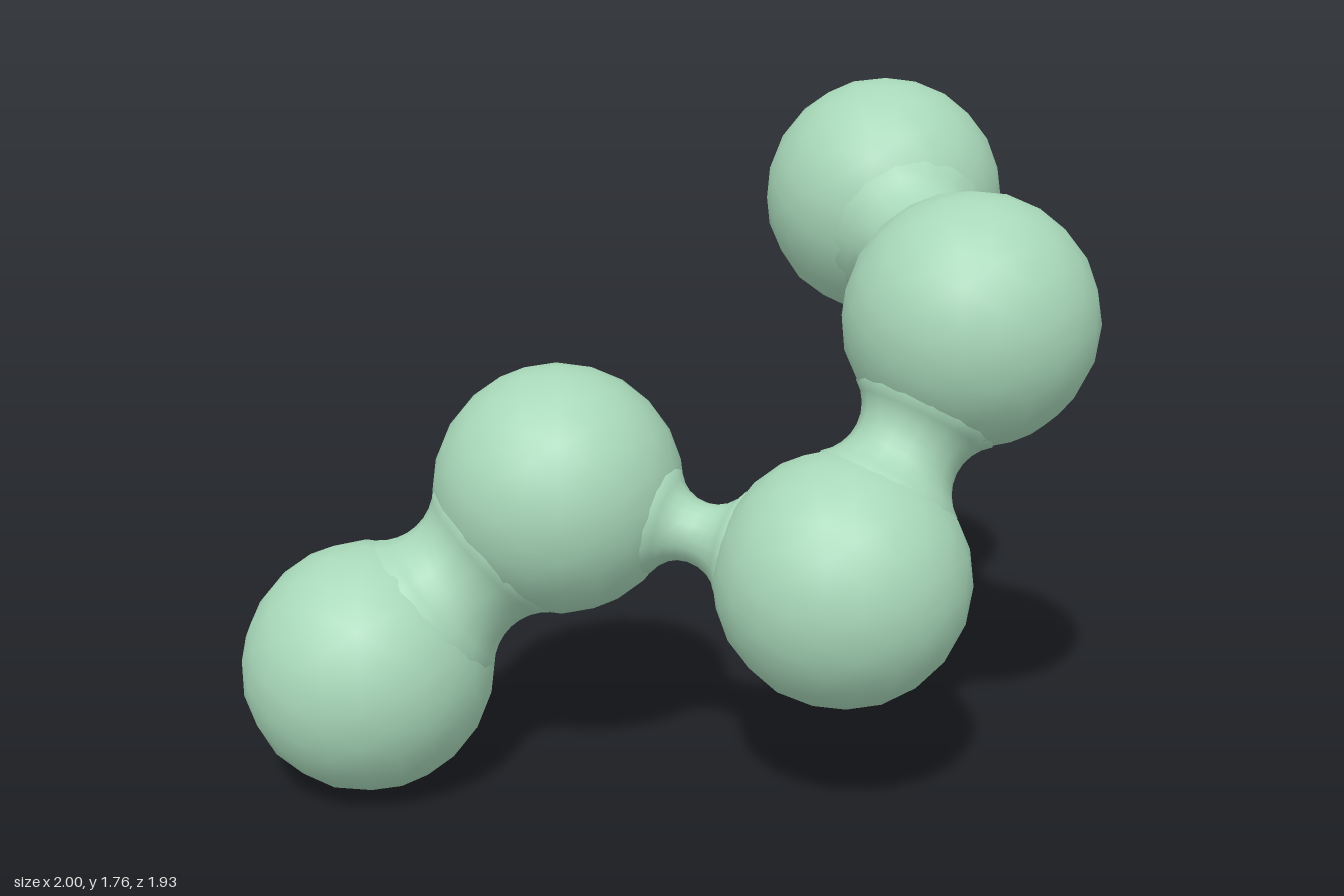
import * as THREE from 'three';

const R = 0.326; // radius of every ball

// Ball centres, in order along the chain
const centres = [
  [-0.675, 0.325, 0.64],
  [-0.28, 0.775, 0.322],
  [0.48, 0.618, 0.222],
  [0.67, 1.23, -0.122],
  [0.215, 1.432, -0.635],
].map((c) => new THREE.Vector3(...c));

// Waist radius of the neck between each ball and the next
const waists = [0.18, 0.08, 0.14, 0.165];

// Concave neck: a circular fillet tangent to both balls, revolved about their axis
function neckGeometry(length, waist) {
  const h = length / 2;
  const fillet = (waist * waist + h * h - R * R) / (2 * (R - waist));
  const end = Math.atan2(h, waist + fillet);
  const points = [];
  const steps = 8;
  for (let i = 0; i <= steps; i++) {
    const a = -end + (2 * end * i) / steps;
    points.push(new THREE.Vector2(waist + fillet - fillet * Math.cos(a), fillet * Math.sin(a)));
  }
  // Tuck the rims just under the faceted balls
  points.unshift(new THREE.Vector2(points[0].x, points[0].y - 0.02));
  const last = points[points.length - 1];
  points.push(new THREE.Vector2(last.x, last.y + 0.02));
  return new THREE.LatheGeometry(points, 16);
}

export function createModel() {
  const group = new THREE.Group();
  group.name = 'blobChain';
  const material = new THREE.MeshStandardMaterial({ color: 0xa8d8b9 });

  // Balls
  const ballGeometry = new THREE.IcosahedronGeometry(R, 3);
  centres.forEach((centre, i) => {
    const ball = new THREE.Mesh(ballGeometry, material);
    ball.name = `ball${i + 1}`;
    ball.position.copy(centre);
    group.add(ball);
  });

  // Necks joining neighbouring balls
  const up = new THREE.Vector3(0, 1, 0);
  waists.forEach((waist, i) => {
    const axis = centres[i + 1].clone().sub(centres[i]);
    const neck = new THREE.Mesh(neckGeometry(axis.length(), waist), material);
    neck.name = `neck${i + 1}`;
    neck.position.copy(centres[i]).addScaledVector(axis, 0.5);
    neck.quaternion.setFromUnitVectors(up, axis.normalize());
    group.add(neck);
  });

  return group;
}
